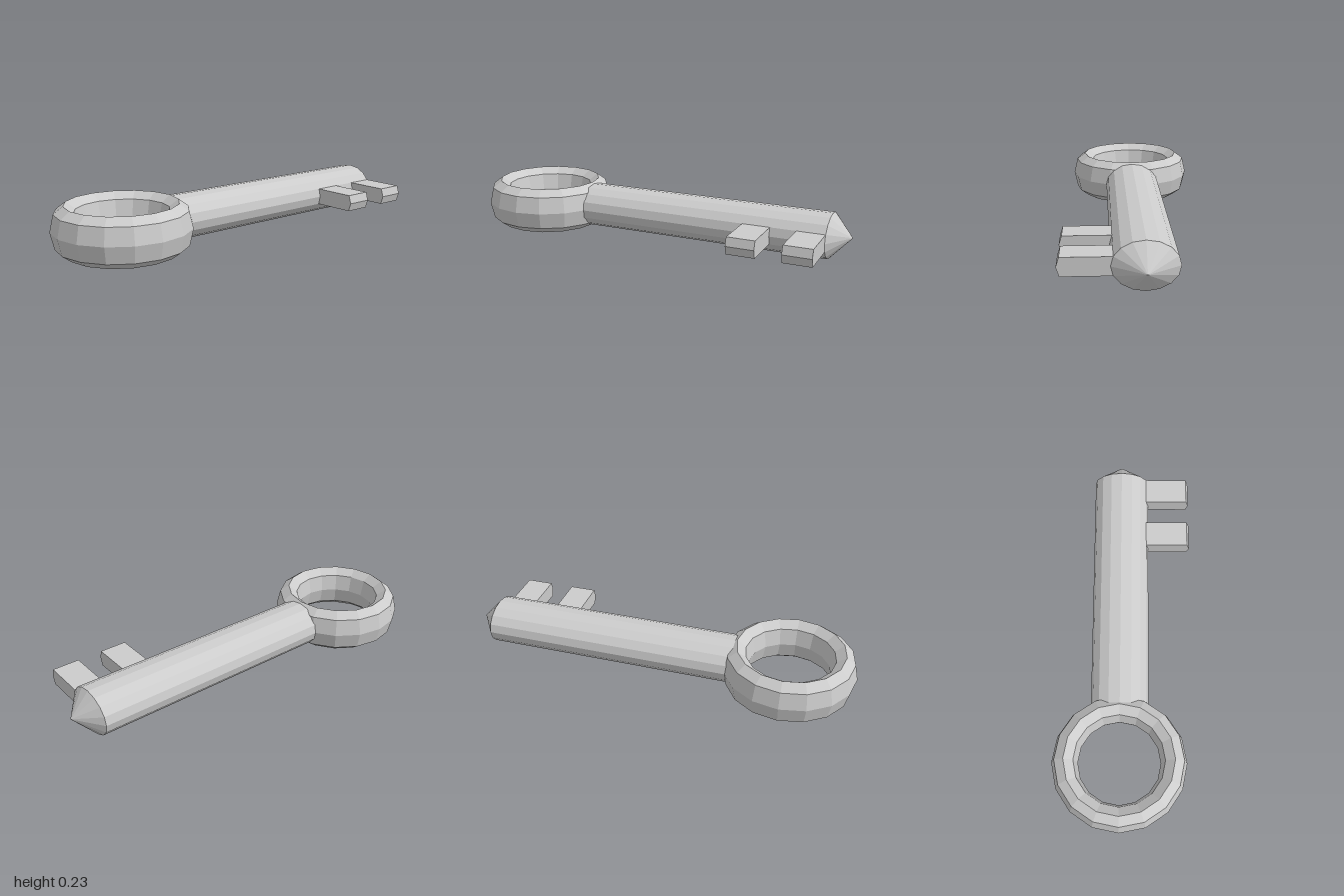
import * as THREE from 'three';

const material = new THREE.MeshStandardMaterial({ color: 0xcccccc, flatShading: true });
const MID_Y = 0.117, MID_Z = -0.015;

function part(name, geometry, x, y = MID_Y, z = MID_Z) {
  const mesh = new THREE.Mesh(geometry, material);
  mesh.name = name;
  mesh.position.set(x, y, z);
  return mesh;
}

export function createModel() {
  const key = new THREE.Group();
  key.name = 'key';

  // Ring handle: octagonal tube, stretched upward
  const tube = 0.065;
  const ring = new THREE.TorusGeometry(0.268, tube, 8, 16)
    .rotateX(Math.PI / 2)
    .scale(1, MID_Y / tube, 1);
  key.add(part('ringHandle', ring, -0.667));

  // Oval shaft, its near end buried in the ring
  const start = -0.4, end = 0.9, tip = 1;
  const oval = (geometry) => geometry.rotateZ(-Math.PI / 2).scale(1, 0.11, 0.145);
  key.add(part('shaft', oval(new THREE.CylinderGeometry(1, 1, end - start, 16)), (start + end) / 2));

  // Pointed tip
  key.add(part('tip', oval(new THREE.ConeGeometry(1, tip - end, 16, 1, true)), (end + tip) / 2));

  // Two teeth with a shallow ridge on the outer end
  const width = 0.137;
  const outline = new THREE.Shape([
    [0.05, -0.042], [0.338, -0.042], [0.351, 0], [0.338, 0.042], [0.05, 0.042],
  ].map(([z, y]) => new THREE.Vector2(-z, y)));
  for (const x of [0.5, 0.763]) {
    const tooth = new THREE.ExtrudeGeometry(outline, { depth: width, bevelEnabled: false })
      .rotateY(Math.PI / 2);
    key.add(part('tooth', tooth, x, MID_Y, 0));
  }
  return key;
}
